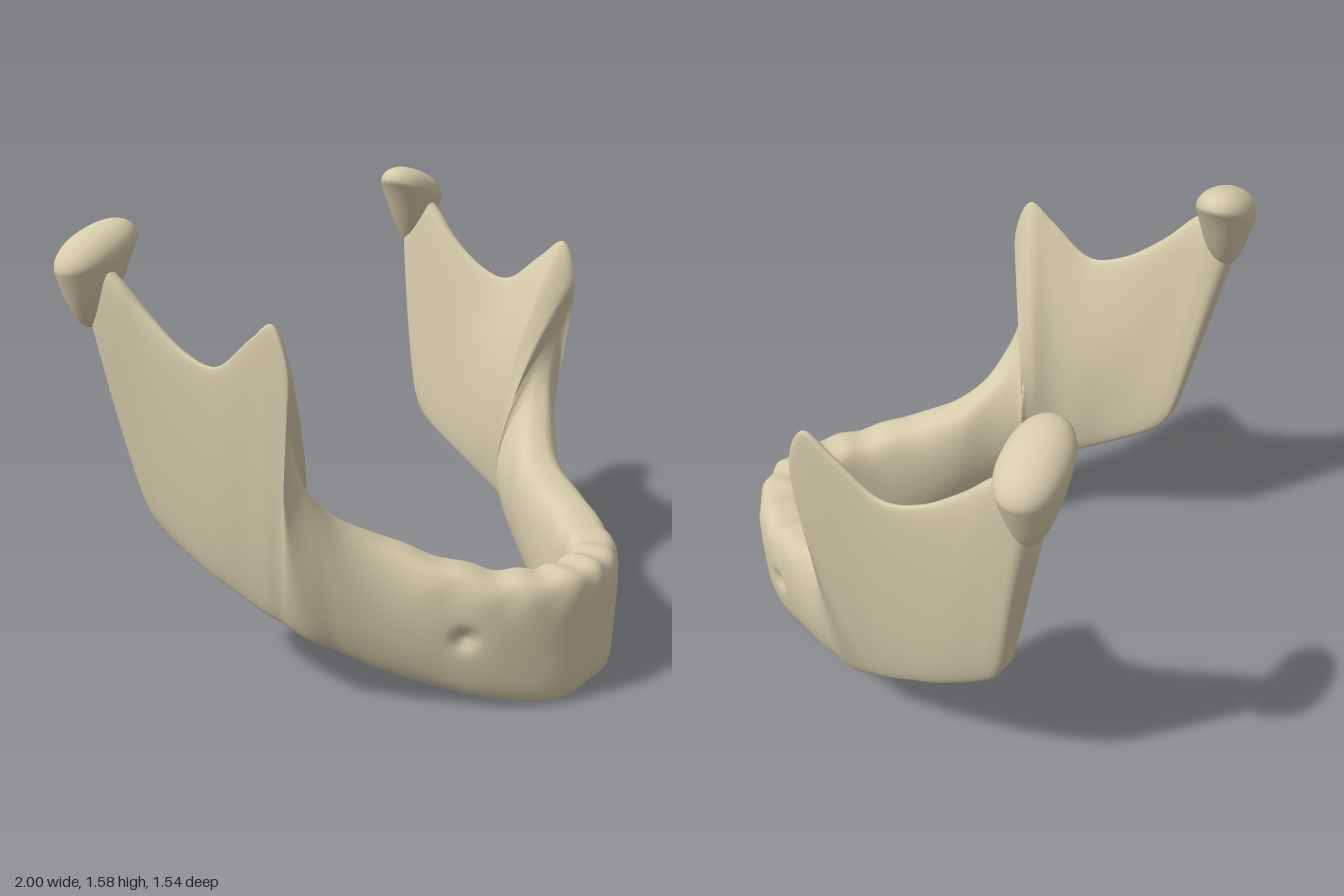
import * as THREE from 'three';

const bone = new THREE.MeshStandardMaterial({ color: 0xd6ccac });
const V = (p) => new THREE.Vector3(...p);

// Lower border, from the chin back to the angle and up the rear edge
const lower = [
  [0, .02, .65], [.14, .01, .63], [.27, .03, .5], [.38, .07, .34], [.49, .13, .2], [.57, .19, .09],
  [.63, .23, .03], [.66, .26, -.02], [.68, .29, -.07], [.695, .31, -.11], [.71, .34, -.17], [.725, .38, -.25],
  [.74, .42, -.33], [.75, .47, -.42], [.757, .52, -.5], [.765, .57, -.56], [.772, .63, -.595], [.778, .67, -.615],
];
// Upper border: tooth ridge, front edge, coronoid tip, notch, neck
const upper = [
  [0, .48, .66], [.15, .475, .62], [.29, .485, .5], [.39, .53, .36], [.48, .59, .2], [.61, .68, .1],
  [.71, .82, .05], [.78, .98, .055], [.815, 1.2, .11], [.83, 1.36, .06], [.83, 1.3, -.04], [.825, 1.19, -.19],
  [.83, 1.22, -.33], [.84, 1.32, -.47], [.86, 1.42, -.57], [.87, 1.48, -.66], [.875, 1.46, -.72], [.875, 1.44, -.765],
];
// Half thickness near the bottom, middle and top
const thick = [
  [.11, .085, .125], [.1, .085, .13], [.1, .1, .125], [.09, .105, .12], [.08, .11, .115], [.075, .11, .09],
  [.07, .115, .065], [.06, .115, .05], [.055, .1, .04], [.055, .09, .03], [.05, .07, .025], [.05, .06, .025],
  [.05, .05, .03], [.05, .045, .04], [.05, .045, .05], [.05, .05, .06], [.04, .045, .05], [0, 0, 0],
];
// Inward bow of each section
const bow = [0, 0, 0, 0, 0, .01, .03, .04, .045, .04, .03, .02, .01, 0, 0, 0, 0, 0];

// Smooth curve running from the right end through the chin to the left end
function mirroredCurve(rows, sign) {
  const left = rows.map(V);
  const right = left.slice(1).reverse().map((p) => V([p.x * sign, p.y, p.z]));
  return new THREE.CatmullRomCurve3([...right, ...left], false, 'catmullrom', 0.5);
}

function jawGeometry() {
  const lo = mirroredCurve(lower, -1), up = mirroredCurve(upper, -1);
  const wide = mirroredCurve(thick, 1), bend = mirroredCurve(bow.map((b) => [b, 0, 0]), 1);
  const rings = 340, sides = 56, pos = [], index = [];
  for (let i = 0; i <= rings; i++) {
    const u = i / rings;
    const b = lo.getPoint(u), t = up.getPoint(u), w = wide.getPoint(u), inward = bend.getPoint(u).x;
    const tan = lo.getTangent(u);
    const n = V([-tan.z, 0, tan.x]).normalize();
    for (let j = 0; j < sides; j++) {
      const a = (j / sides) * Math.PI * 2;
      const h = (1 - Math.cos(a)) / 2, s = Math.sin(a);
      const mid = 2 * w.y - (w.x + w.z) / 2;
      const half = w.x * (1 - h) ** 2 + 2 * mid * h * (1 - h) + w.z * h * h;
      let off = Math.sign(s) * Math.abs(s) ** 0.6 * half - inward * Math.sin(Math.PI * h);
      const p = b.clone().lerp(t, h);
      // tooth socket ripples along the ridge
      const ridge = THREE.MathUtils.smoothstep(h, 0.7, 0.95) * (1 - THREE.MathUtils.smoothstep(Math.abs(p.x), 0.4, 0.52));
      p.y += ridge * 0.006 * Math.sin(p.x * 55 + 1.5);
      if (s > 0) off += ridge * 0.008 * Math.cos(p.x * 62) * s;
      p.addScaledVector(n, off);
      // small nerve opening on each outer side
      if (s > 0) {
        const d2 = (p.y - 0.285) ** 2 + (p.z - 0.48) ** 2;
        p.addScaledVector(n, -0.035 * Math.exp(-d2 / 0.0009));
      }
      pos.push(p.x, p.y, p.z);
      if (i < rings) {
        const k = (j + 1) % sides, r = i * sides, q = r + sides;
        index.push(r + j, q + j, q + k, r + j, q + k, r + k);
      }
    }
  }
  const g = new THREE.BufferGeometry();
  g.setAttribute('position', new THREE.Float32BufferAttribute(pos, 3));
  g.setIndex(index);
  g.computeVertexNormals();
  return g;
}

// Knob with a wide head tapering down into the neck
function condyleGeometry(side) {
  const g = new THREE.SphereGeometry(1, 40, 28);
  const p = g.attributes.position;
  for (let i = 0; i < p.count; i++) {
    let x = p.getX(i), y = p.getY(i), z = p.getZ(i);
    const down = Math.max(0, -y);
    x = Math.sign(x) * Math.abs(x) ** 0.85 * 0.155 * (1 - 0.25 * down);
    z = z * 0.1 - 0.01 * down;
    y = y > 0 ? y * 0.085 : y * 0.24 * (0.3 + 0.7 * down);
    y -= x * 0.3;
    x += 0.02 * down;
    p.setXYZ(i, side * (0.845 + x), 1.495 + y, -0.69 + z);
  }
  if (side < 0) {
    const ix = g.index.array;
    for (let i = 0; i < ix.length; i += 3) [ix[i], ix[i + 1]] = [ix[i + 1], ix[i]];
  }
  g.computeVertexNormals();
  return g;
}

export function createModel() {
  const group = new THREE.Group();
  group.name = 'lowerJawBone';
  const add = (name, geometry) => {
    const mesh = new THREE.Mesh(geometry, bone);
    mesh.name = name;
    group.add(mesh);
  };
  add('jawBodyAndRami', jawGeometry());
  add('leftCondyle', condyleGeometry(1));
  add('rightCondyle', condyleGeometry(-1));
  return group;
}
